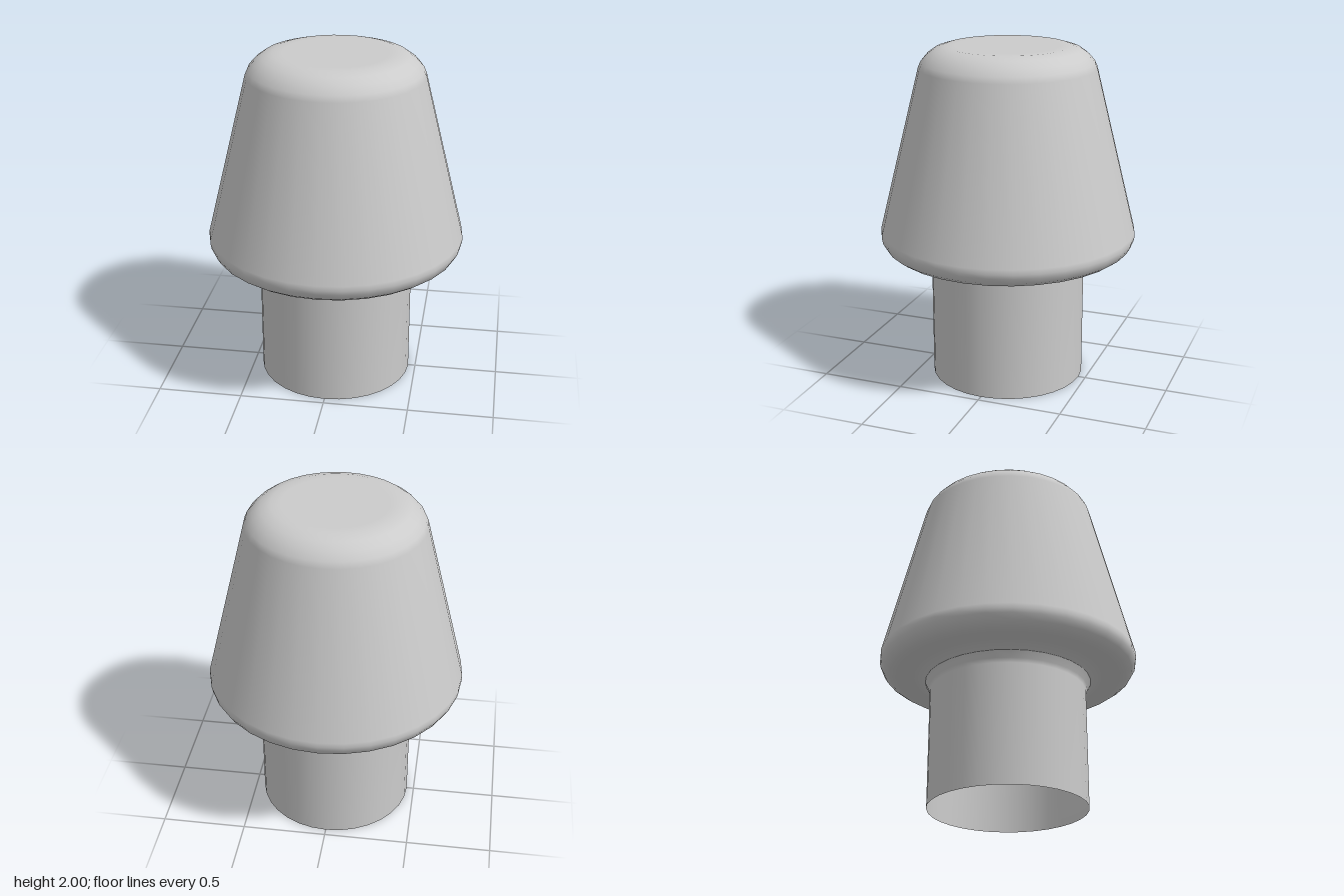
import * as THREE from 'three';

const SIDES = 32;

// Revolve a bottom-to-top list of [radius, height] points
function revolve(name, profile) {
  const points = profile.map(([r, y]) => new THREE.Vector2(r, y));
  const material = new THREE.MeshStandardMaterial({ color: 0xcccccc, side: THREE.DoubleSide });
  const mesh = new THREE.Mesh(new THREE.LatheGeometry(points, SIDES), material);
  mesh.name = name;
  return mesh;
}

export function createModel() {
  const group = new THREE.Group();
  group.name = 'taperedKnob';

  // Hollow stem, open at the bottom, flaring slightly under the cap
  group.add(revolve('stem', [
    [0.457, 0], [0.457, 0.70], [0.465, 0.725], [0.485, 0.765],
  ]));

  // Tapered cap: flat underside, rounded rim, sloped wall, rounded shoulder, flat top
  group.add(revolve('cap', [
    [0.485, 0.765], [0.515, 0.782], [0.55, 0.793], [0.66, 0.793],
    [0.695, 0.80], [0.73, 0.825], [0.75, 0.86], [0.755, 0.885], [0.754, 0.915],
    [0.515, 1.875], [0.50, 1.91], [0.465, 1.95], [0.42, 1.982],
    [0.36, 2], [0.30, 2], [0, 2],
  ]));

  return group;
}
